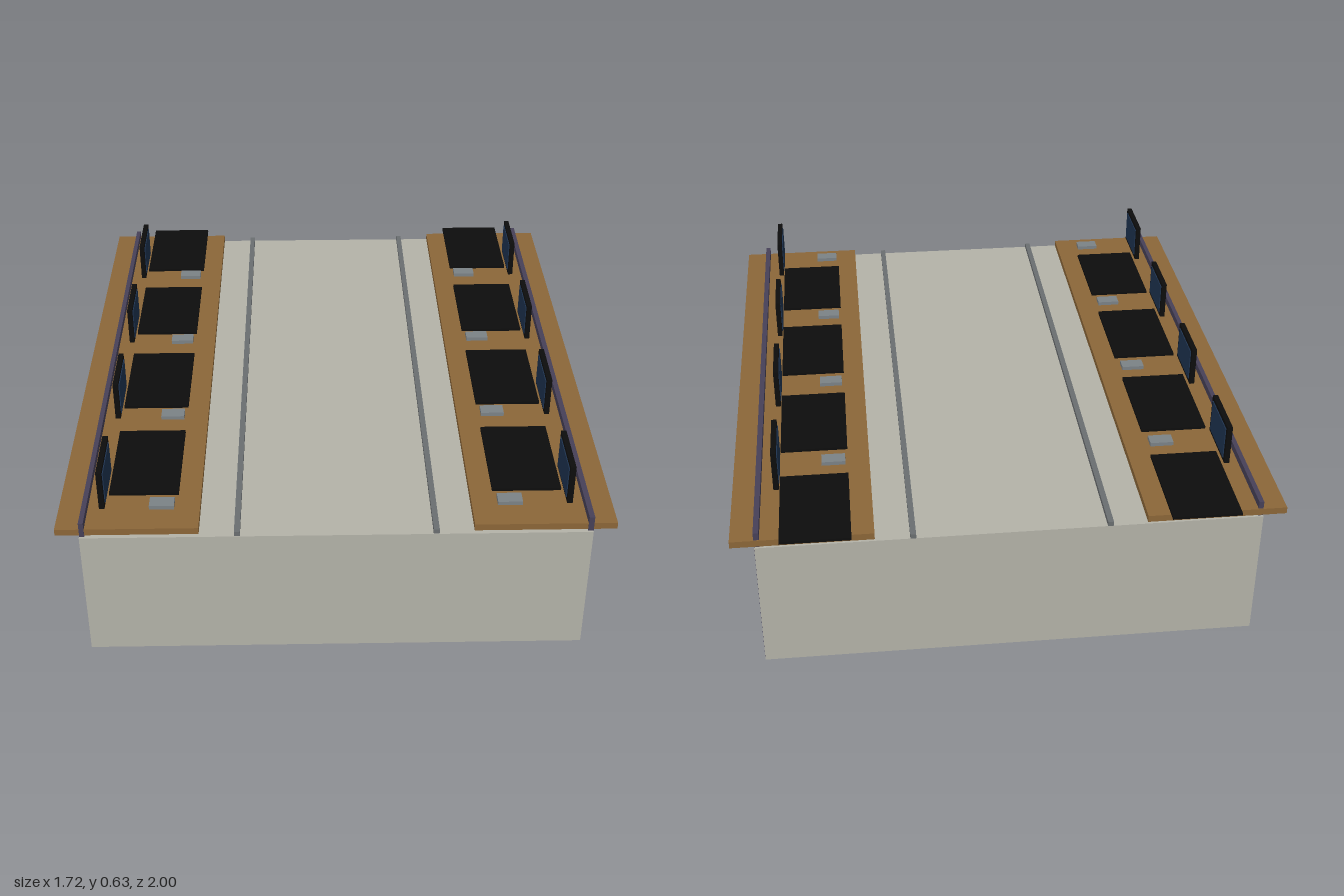
import * as THREE from 'three';

const mat = (name, color) => {
  const m = new THREE.MeshStandardMaterial({ color });
  m.name = name;
  return m;
};

export function createModel() {
  const model = new THREE.Group();
  model.name = 'workstationPlatform';

  const stone = mat('paleGrey', 0xb3b2a8);
  const wood = mat('brownWood', 0x8b6638);
  const purple = mat('darkPurple', 0x464058);
  const black = mat('black', 0x0d0d0d);
  const blue = mat('screenBlue', 0x1e3350);
  const steel = mat('steelGrey', 0x7b8286);
  const railGrey = mat('railGrey', 0x6a6e70);

  // Box given by its lower and upper limits on each axis
  const box = (name, material, [x0, x1], [y0, y1], [z0, z1], parent = model) => {
    const mesh = new THREE.Mesh(new THREE.BoxGeometry(Math.abs(x1 - x0), y1 - y0, z1 - z0), material);
    mesh.position.set((x0 + x1) / 2, (y0 + y1) / 2, (z0 + z1) / 2);
    mesh.name = name;
    parent.add(mesh);
    return mesh;
  };

  // Solid base
  box('base', stone, [-0.786, 0.786], [0, 0.445], [-0.973, 0.997]);

  for (const s of [1, -1]) {
    const side = new THREE.Group();
    side.name = s > 0 ? 'leftSide' : 'rightSide';
    model.add(side);
    const part = (name, material, [a, b], y, z) => box(name, material, [s * a, s * b], y, z, side);

    // Long desk, wall panel rising through it, and floor rail
    part('desk', wood, [0.422, 0.86], [0.449, 0.471], [-0.97, 0.987]);
    const outer = s > 0 ? 0.787 : 0.785;
    part('wallPanel', purple, [0.77, outer], [0.001, 0.496], [-0.967, 0.99]);
    part('floorRail', railGrey, [0.296, 0.314], [0.445, 0.46], [-0.973, 0.995]);

    // Four workstations
    for (let i = 0; i < 4; i++) {
      const z = 0.65 - i * 0.4927;
      part('deskMat', black, [0.492, 0.71], [0.474, 0.483], [z - 0.172, z + 0.172]);
      part('monitor', black, [0.711, 0.728], [0.5, 0.635], [z + 0.076, z + 0.273]);
      part('screen', blue, [0.708, 0.711], [0.513, 0.622], [z + 0.09, z + 0.259]);
      part('deskDevice', steel, [0.5, 0.577], [0.486, 0.499], [z + 0.215, z + 0.261]);
    }
  }
  return model;
}
